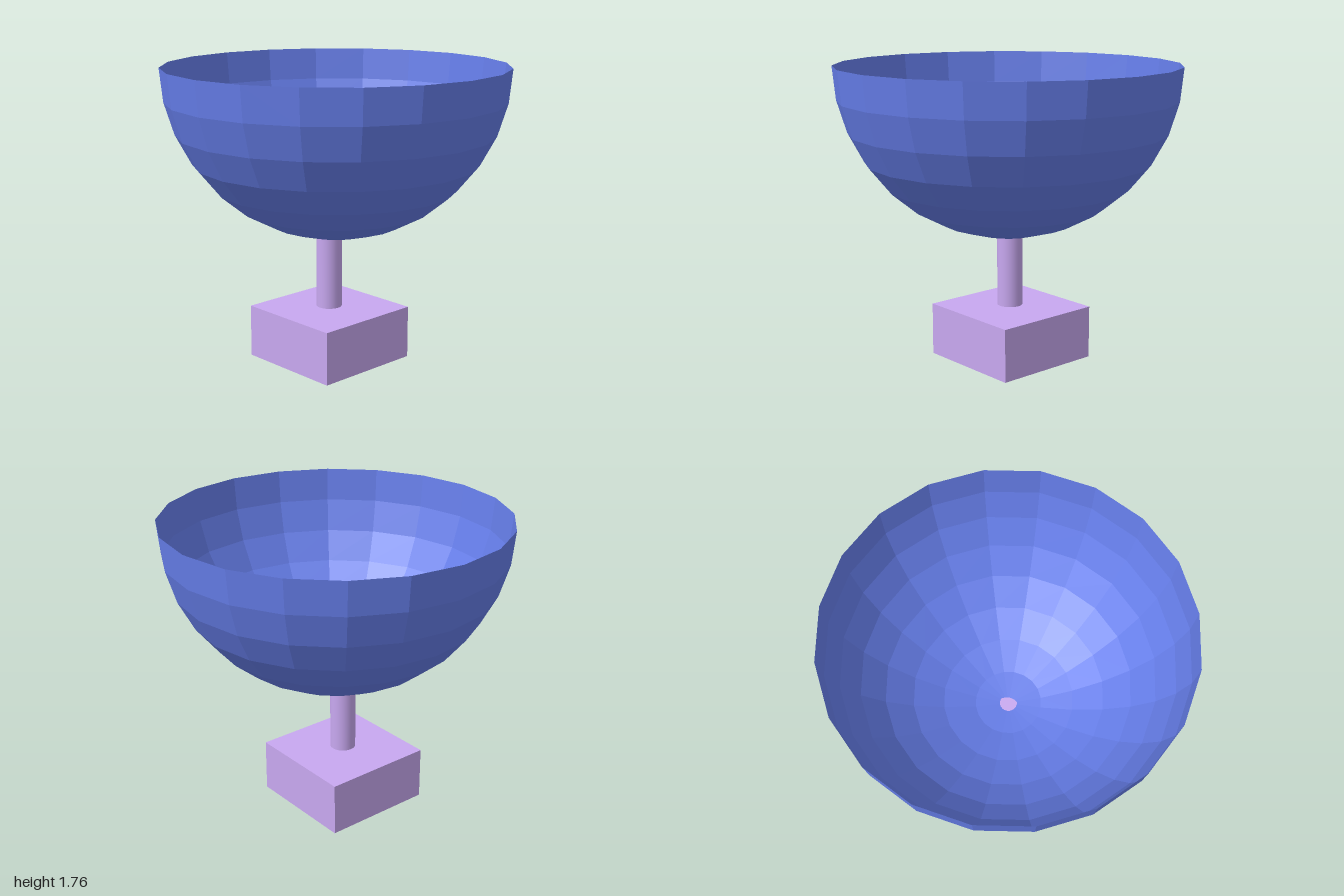
import * as THREE from 'three';

export function createModel() {
  const model = new THREE.Group();
  const add = (name, geometry, material, x, y, z) => {
    const mesh = new THREE.Mesh(geometry, material);
    mesh.name = name;
    mesh.position.set(x, y, z);
    model.add(mesh);
  };

  const blue = new THREE.MeshStandardMaterial({ color: 0x667eea, flatShading: true, side: THREE.DoubleSide });
  const lilac = new THREE.MeshStandardMaterial({ color: 0xc8a8f0 });

  // Thin open bowl: the lower half of a faceted sphere
  add('bowl', new THREE.SphereGeometry(1, 20, 8, 0, Math.PI * 2, Math.PI / 2, Math.PI / 2), blue, 0, 1.765, 0);

  // Stem, slightly off centre, its top just breaking through the bowl's floor
  const stemTop = 0.77, stemBottom = 0.325;
  add('stem', new THREE.CylinderGeometry(0.076, 0.076, stemTop - stemBottom, 32), lilac,
    -0.035, (stemTop + stemBottom) / 2, 0.023);

  // Block base
  add('base', new THREE.BoxGeometry(0.67, 0.315, 0.67), lilac, -0.038, 0.1575, 0.02);

  return model;
}
